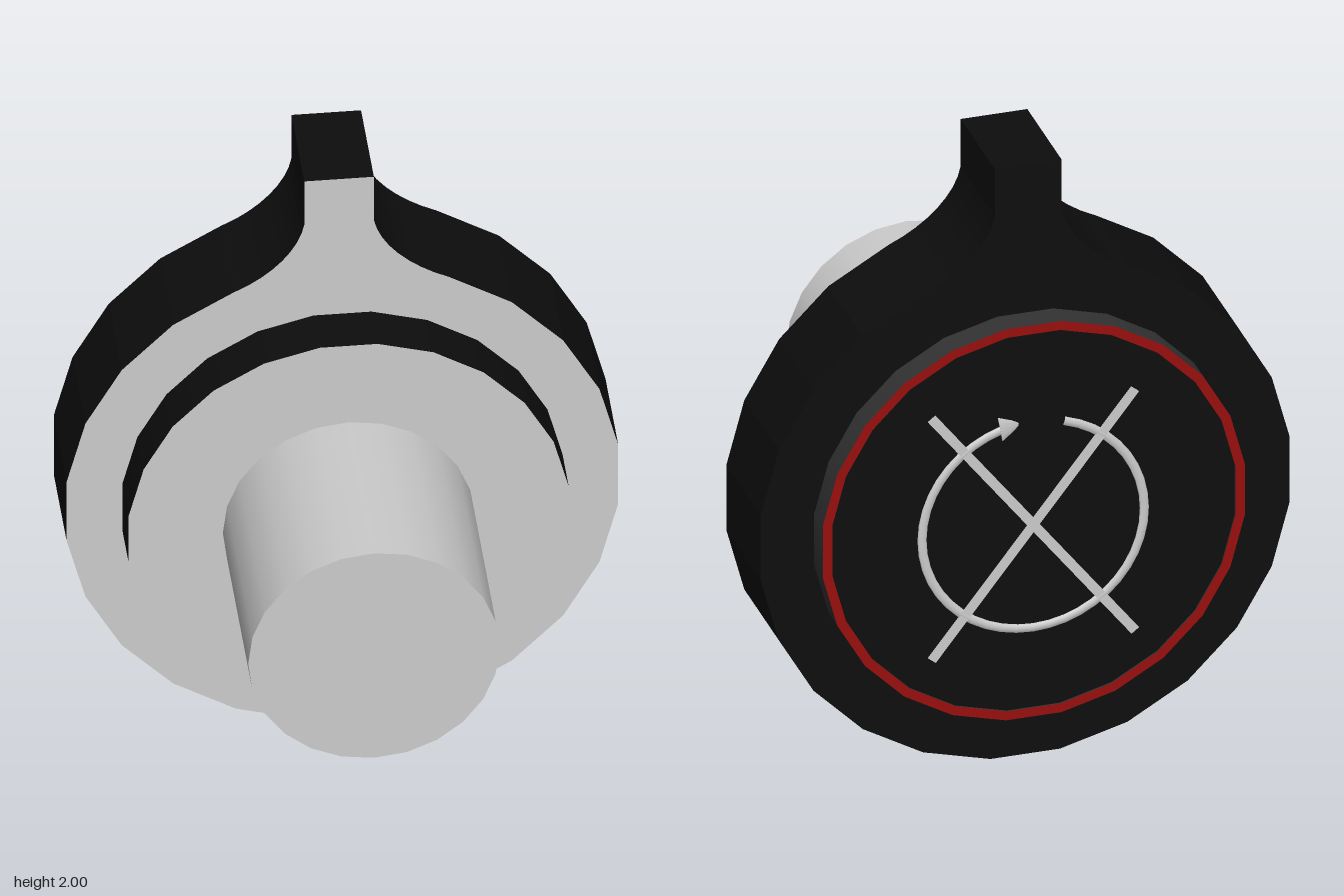
import * as THREE from 'three';

const mat = (color) => new THREE.MeshStandardMaterial({ color });
const CY = 0.835; // height of the common axis

export function createModel() {
  const group = new THREE.Group();
  const grey = mat(0xcccccc), black = mat(0x0d0d0d), dark = mat(0x333333), red = mat(0x990d0d);

  const add = (name, geometry, material, parent = group) => {
    const mesh = new THREE.Mesh(geometry, material);
    mesh.name = name;
    parent.add(mesh);
    return mesh;
  };

  // Cylinder along z from z0 (back) to z1 (front); materials are [side, front, back]
  const disc = (name, r, z0, z1, materials, turn = Math.PI / 24) => {
    const g = new THREE.CylinderGeometry(r, r, z1 - z0, 24, 1, false, turn);
    g.rotateX(Math.PI / 2).translate(0, CY, (z0 + z1) / 2);
    return add(name, g, materials);
  };

  // Main ring: 24-sided outline that flows into a square neck at the top
  const R = 0.84;
  const outline = new THREE.Shape();
  for (let i = 0; i < 22; i++) {
    const a = THREE.MathUtils.degToRad(-157.5 + i * 15); // measured from the bottom
    const x = R * Math.sin(a), y = CY - 0.002 - R * Math.cos(a);
    if (i === 0) outline.moveTo(x, y);
    else outline.lineTo(x, y);
  }
  outline.bezierCurveTo(0.2, 1.66, 0.11, 1.75, 0.095, 1.84);
  outline.lineTo(0.095, 2);
  outline.lineTo(-0.115, 2);
  outline.lineTo(-0.115, 1.84);
  outline.bezierCurveTo(-0.13, 1.75, -0.21, 1.66, -0.32, 1.609);
  const body = new THREE.ExtrudeGeometry(outline, { depth: 0.34, bevelEnabled: false, curveSegments: 8 });
  body.translate(0, 0, -0.545);
  // Grey front lid, black back lid and sides
  const [lids, sides] = body.groups;
  body.clearGroups();
  body.addGroup(0, lids.count / 2, 0);
  body.addGroup(lids.count / 2, lids.count / 2, 1);
  body.addGroup(sides.start, sides.count, 0);
  add('ringWithNeck', body, [black, grey]);

  // Front collar, back flange and shaft
  disc('frontCollar', 0.67, -0.3, -0.04, [black, grey, black]);
  disc('backFlange', 0.67, -0.624, -0.5, [dark, dark, black]);
  disc('shaft', 0.38, -0.1, 0.63, [grey, grey, grey], 0);

  // Red rim around the back face
  const rim = new THREE.Shape();
  const hole = new THREE.Path();
  for (let i = 0; i <= 24; i++) {
    const a = (i + 0.5) * Math.PI / 12;
    const add2 = i ? 'lineTo' : 'moveTo';
    rim[add2](0.67 * Math.cos(a), 0.67 * Math.sin(a));
    hole[add2](0.64 * Math.cos(a), 0.64 * Math.sin(a));
  }
  rim.holes.push(hole);
  const rimGeo = new THREE.ExtrudeGeometry(rim, { depth: 0.006, bevelEnabled: false });
  rimGeo.translate(0, CY, -0.63);
  add('redRim', rimGeo, [red, dark]);

  // Rotation marker on the back face: crossed bars and a round arrow
  const marker = new THREE.Group();
  marker.name = 'rotationMarker';
  marker.position.set(0, CY - 0.015, -0.622);
  group.add(marker);
  for (const s of [1, -1]) {
    const bar = add('crossBar', new THREE.BoxGeometry(0.03, 1.04, 0.014), grey, marker);
    bar.rotation.z = s * Math.atan2(0.32, 0.41);
  }
  const arc = new THREE.TorusGeometry(0.35, 0.016, 8, 40, THREE.MathUtils.degToRad(328));
  arc.rotateZ(THREE.MathUtils.degToRad(106)).scale(1, 1, 0.5);
  add('arrowArc', arc, grey, marker);
  const head = new THREE.ConeGeometry(0.045, 0.08, 12);
  head.scale(1, 1, 0.18).rotateZ(THREE.MathUtils.degToRad(80)).translate(0.065, 0.345, 0);
  add('arrowHead', head, grey, marker);

  return group;
}
